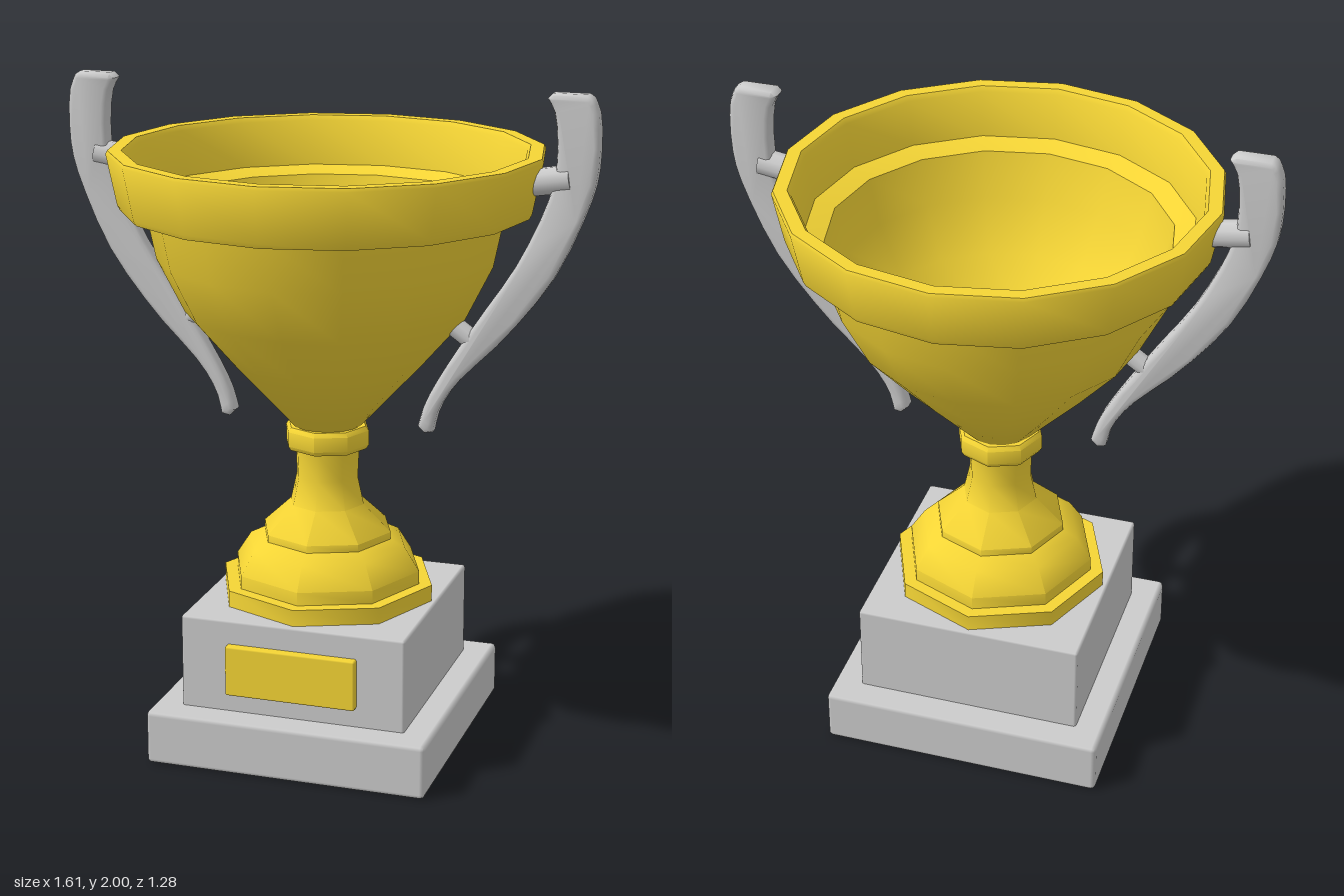
import * as THREE from 'three';
import { toCreasedNormals } from 'three/addons/utils/BufferGeometryUtils.js';
import { RoundedBoxGeometry } from 'three/addons/geometries/RoundedBoxGeometry.js';

const grey = new THREE.MeshStandardMaterial({ color: 0xcccccc });
const gold = new THREE.MeshStandardMaterial({ color: 0xf5d535 });

const points = (list) => list.map(([x, y]) => new THREE.Vector2(x, y));

function part(name, geometry, material, parent) {
  const mesh = new THREE.Mesh(geometry, material);
  mesh.name = name;
  parent.add(mesh);
  return mesh;
}

// Faceted turned part with soft shading and sharp steps
function turned(profile, sides) {
  return toCreasedNormals(new THREE.LatheGeometry(points(profile), sides), 0.85);
}

function block(name, w, h, d, y, z, bevel, material, parent) {
  part(name, new RoundedBoxGeometry(w, h, d, 1, bevel), material, parent).position.set(0, y, z);
}

// Round peg between two points in the handle plane
function peg(name, from, to, radius, parent) {
  const a = new THREE.Vector3(...from, 0), b = new THREE.Vector3(...to, 0);
  const dir = b.clone().sub(a);
  const mesh = part(name, new THREE.CylinderGeometry(radius, radius, dir.length(), 10), grey, parent);
  mesh.position.copy(a).add(b).multiplyScalar(0.5);
  mesh.quaternion.setFromUnitVectors(new THREE.Vector3(0, 1, 0), dir.normalize());
}

function handle(name) {
  const group = new THREE.Group();
  group.name = name;

  // Tapering S-curve outline: down the inner edge, back up the outer edge
  const inner = points([[0.65, 1.985], [0.675, 1.93], [0.68, 1.79], [0.65, 1.67], [0.57, 1.5],
    [0.465, 1.34], [0.37, 1.19], [0.31, 1.08], [0.285, 1.0]]);
  const outer = points([[0.33, 0.985], [0.35, 1.06], [0.41, 1.15], [0.545, 1.29], [0.68, 1.47],
    [0.77, 1.67], [0.8, 1.79], [0.8, 1.93], [0.78, 1.99]]);
  const outline = new THREE.Shape([
    ...new THREE.SplineCurve(inner).getPoints(20),
    new THREE.Vector2(0.305, 0.98),
    ...new THREE.SplineCurve(outer).getPoints(20),
    new THREE.Vector2(0.765, 2.0), new THREE.Vector2(0.665, 2.0),
  ]);
  const geometry = new THREE.ExtrudeGeometry(outline, {
    depth: 0.03, bevelEnabled: true, bevelThickness: 0.015, bevelSize: 0.015,
    bevelOffset: -0.015, bevelSegments: 2,
  });
  geometry.translate(0, 0, -0.015);
  part('handleArm', toCreasedNormals(geometry, 0.9), grey, group);

  peg('upperPeg', [0.59, 1.74], [0.72, 1.76], 0.04, group);
  peg('lowerPeg', [0.37, 1.32], [0.47, 1.25], 0.03, group);
  return group;
}

export function createModel() {
  const model = new THREE.Group();
  model.name = 'trophy';

  // Square plinth with front plate
  block('plinthFoot', 0.86, 0.165, 0.86, 0.0825, 0, 0.014, grey, model);
  block('plinthBlock', 0.69, 0.3, 0.69, 0.3, 0, 0.008, grey, model);
  block('frontPlate', 0.4, 0.155, 0.04, 0.3, 0.35, 0.006, gold, model);

  // Octagonal stem
  part('stem', turned([
    [0, 0.445], [0.33, 0.445], [0.33, 0.5], [0.29, 0.5], [0.29, 0.54], [0.245, 0.61],
    [0.2, 0.633], [0.2, 0.655], [0.115, 0.735], [0.096, 0.82], [0.1, 0.91], [0.122, 0.91],
    [0.13, 0.923], [0.13, 0.967], [0.12, 0.98], [0, 0.98],
  ], 8), gold, model);

  // Hollow bowl with flared rim
  part('cup', turned([
    [0, 0.975], [0.1, 0.975], [0.29, 1.18], [0.42, 1.33], [0.5, 1.49], [0.53, 1.635],
    [0.602, 1.635], [0.61, 1.65], [0.64, 1.8], [0.635, 1.81], [0.595, 1.81], [0.585, 1.795],
    [0.56, 1.66], [0.5, 1.64], [0.465, 1.5], [0.385, 1.35], [0.26, 1.21], [0.09, 1.02], [0, 1.0],
  ], 16), gold, model);

  // Handles, one mirrored by a half turn
  model.add(handle('leftHandle'));
  const right = handle('rightHandle');
  right.rotation.y = Math.PI;
  model.add(right);

  return model;
}
